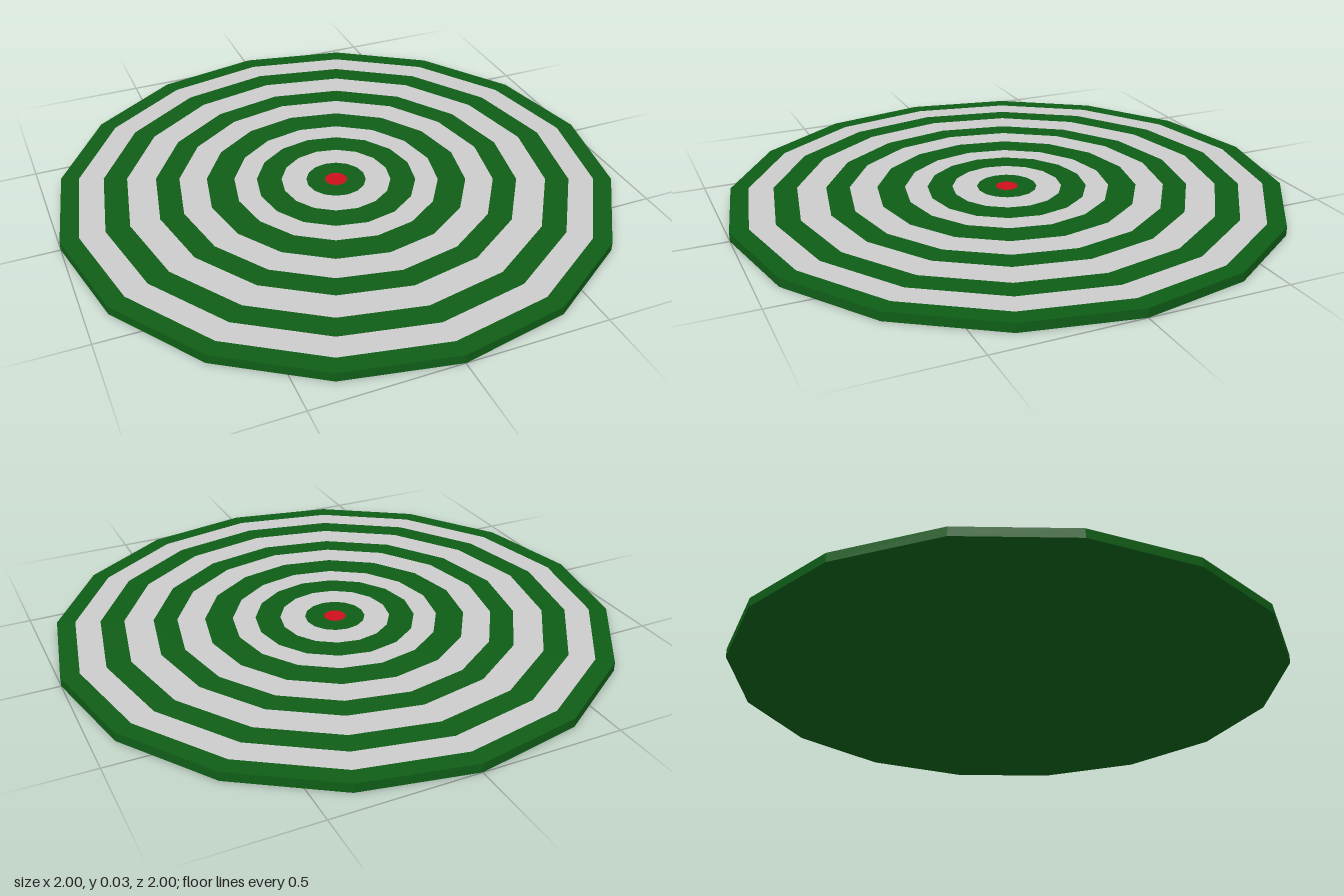
import * as THREE from 'three';

const SIDES = 16;
const HEIGHT = 0.032;

export function createModel() {
  const group = new THREE.Group();
  const paint = (color) => new THREE.MeshStandardMaterial({ color, flatShading: true });
  const green = paint(0x0f5d17);
  const grey = paint(0xcccccc);
  const red = paint(0xcc101c);

  const add = (name, geometry, material, y) => {
    const mesh = new THREE.Mesh(geometry, material);
    mesh.name = name;
    mesh.position.y = y;
    group.add(mesh);
    return mesh;
  };

  // Rim wall and underside; the bands close the top
  add('rim', new THREE.CylinderGeometry(1, 1, HEIGHT, SIDES, 1, true), green, HEIGHT / 2);
  add('underside', new THREE.CircleGeometry(1, SIDES).rotateX(Math.PI / 2), green, 0);

  // Flush concentric bands, alternating green and grey from the outside in
  const radii = [1, 0.935, 0.845, 0.76, 0.655, 0.57, 0.47, 0.37, 0.288, 0.198, 0.108, 0.04];
  for (let i = 0; i < radii.length - 1; i++) {
    const band = new THREE.RingGeometry(radii[i + 1], radii[i], SIDES).rotateX(-Math.PI / 2);
    add(`band${i + 1}`, band, i % 2 ? grey : green, HEIGHT);
  }

  // Centre spot
  add('bullseye', new THREE.CircleGeometry(0.04, SIDES).rotateX(-Math.PI / 2), red, HEIGHT);

  return group;
}
